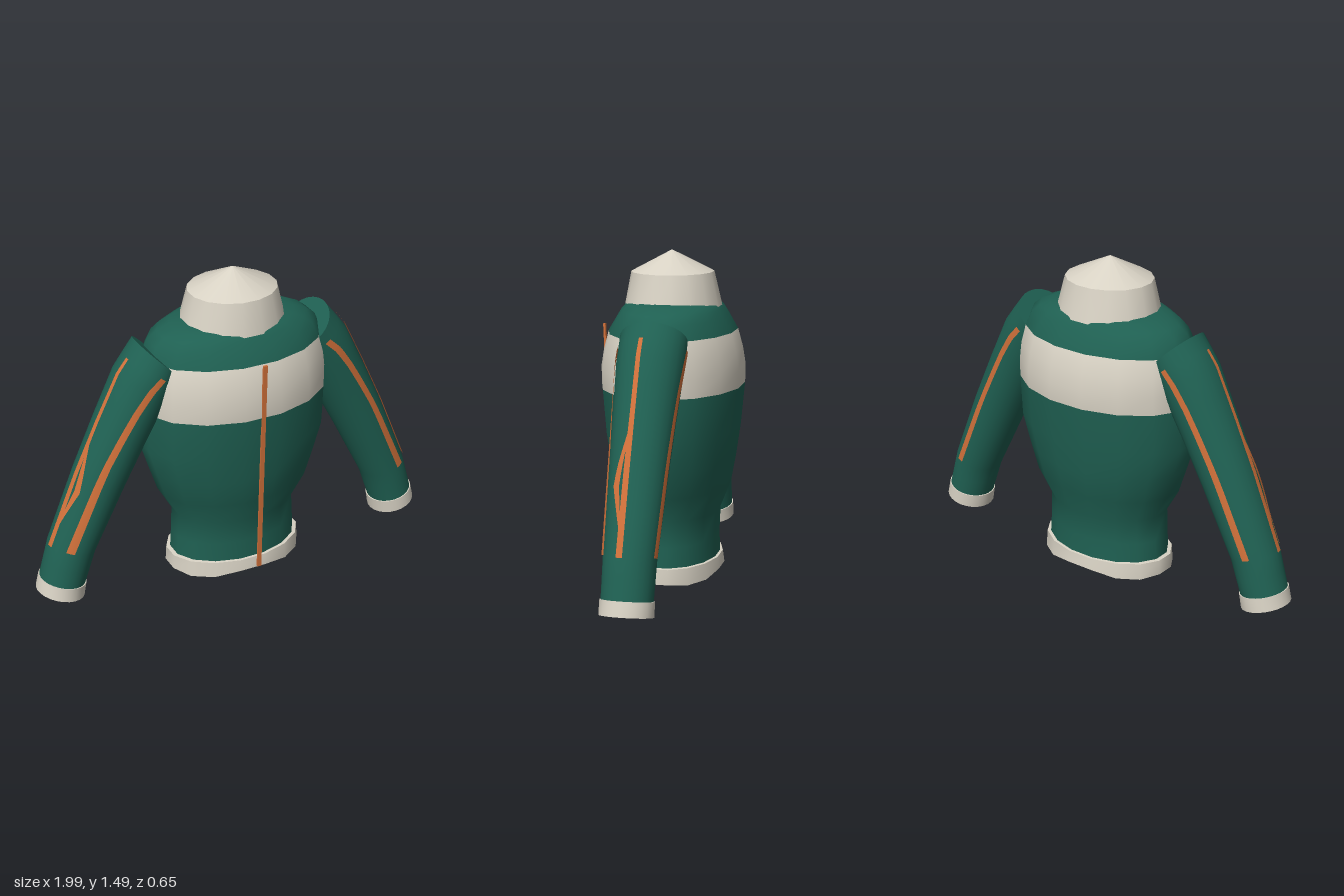
import * as THREE from 'three';

const mat = (name, color) => {
  const m = new THREE.MeshStandardMaterial({ color });
  m.name = name;
  return m;
};

// Skins a list of rings (arrays of [x, y, z]); rings run along the part.
function loft(rings, { closed = true, flip = false, slots = null } = {}) {
  const n = rings[0].length;
  const index = [];
  const geo = new THREE.BufferGeometry();
  for (let i = 0; i < rings.length - 1; i++) {
    const start = index.length;
    for (let j = 0; j < (closed ? n : n - 1); j++) {
      const k = (j + 1) % n;
      const a = i * n + j, b = i * n + k, c = a + n, d = b + n;
      if (flip) index.push(a, b, c, b, d, c);
      else index.push(a, c, b, b, c, d);
    }
    if (slots) geo.addGroup(start, index.length - start, slots[i]);
  }
  geo.setAttribute('position', new THREE.Float32BufferAttribute(rings.flat(2), 3));
  geo.setIndex(index);
  geo.computeVertexNormals();
  return geo;
}

// Horizontal oval ring; y may be a function of the angle.
const SIDES = 16;
function oval(y, rx, rz, cz = -0.008) {
  return Array.from({ length: SIDES }, (_, j) => {
    const t = ((j + 0.5) / SIDES) * Math.PI * 2;
    return [rx * Math.cos(t), typeof y === 'function' ? y(t) : y, cz + rz * Math.sin(t)];
  });
}

// Sleeve stations: centre x, centre y, tilt in degrees, half width, half depth
const STATIONS = [
  [0.38, 1.14, 45, 0.125, 0.15],
  [0.45, 1.03, 31, 0.138, 0.149],
  [0.56, 0.82, 28, 0.132, 0.137],
  [0.67, 0.6, 26, 0.125, 0.127],
  [0.82, 0.275, 17, 0.112, 0.115],
  [0.872, 0.11, 14, 0.107, 0.112],
  [0.886, 0.045, 14, 0.109, 0.113],
];

// Point on the sleeve: u along the stations, t around (0 = front, PI/2 = outer side)
function sleevePoint(side, u, t, off = 0) {
  const i = Math.min(Math.floor(u), STATIONS.length - 2);
  const [x, y, deg, a, b] = STATIONS[i].map((v, k) => v + (STATIONS[i + 1][k] - v) * (u - i));
  const tilt = (deg * Math.PI) / 180;
  const r = (a + off) * Math.sin(t);
  return [side * (x + r * Math.cos(tilt)), y + r * Math.sin(tilt), -0.006 + (b + off) * Math.cos(t)];
}

const sleeveRing = (side, u, off = 0) =>
  Array.from({ length: 24 }, (_, j) => sleevePoint(side, u, (j / 24) * Math.PI * 2, off));

const centreOf = (ring) => {
  const c = [0, 1, 2].map((k) => ring.reduce((s, p) => s + p[k], 0) / ring.length);
  return ring.map(() => c);
};

// Thin stripe lying on the sleeve; path points are [u, angle, half angle]
function stripe(side, path) {
  const rings = [];
  for (let i = 0; i < path.length - 1; i++) {
    for (let s = i ? 1 : 0; s <= 6; s++) {
      const [u, t, w] = path[i].map((v, k) => v + (path[i + 1][k] - v) * (s / 6));
      rings.push([-1, 0, 1].map((e) => sleevePoint(side, u, t + e * w, 0.006)));
    }
  }
  return loft(rings, { closed: false, flip: side < 0 });
}

export function createModel() {
  const green = mat('green knit', 0x1f6052);
  const cream = mat('cream trim', 0xd8d2c4);
  const orange = mat('orange piping', 0xd0703a);
  orange.side = THREE.DoubleSide;

  const model = new THREE.Group();
  model.name = 'jacket';
  const add = (parent, name, geo, material) => {
    const mesh = new THREE.Mesh(geo, material);
    mesh.name = name;
    parent.add(mesh);
    return mesh;
  };

  // Torso with a cream chest band
  const profile = [
    [0.06, 0.315, 0.215], [0.18, 0.308, 0.21], [0.3, 0.302, 0.215], [0.42, 0.37, 0.262],
    [0.55, 0.412, 0.285], [0.69, 0.455, 0.304], [0.885, 0.457, 0.323], [0.97, 0.457, 0.325],
    [1.05, 0.45, 0.312], [1.135, 0.43, 0.289], [1.2, 0.405, 0.25], [1.235, 0.36, 0.23],
    [1.26, 0.3, 0.208], [1.277, 0.22, 0.17], [1.28, 0.1, 0.08],
  ];
  const slots = profile.map(([y]) => (y > 0.88 && y < 1.13 ? 1 : 0));
  add(model, 'torso', loft(profile.map((p) => oval(...p)), { slots }), [green, cream]);

  // Hem with a wavy lower edge, and its underside
  const wave = (t) => 0.004 + 0.032 * Math.pow(Math.abs(Math.sin(t)), 8) + 0.014 * Math.pow(Math.cos(t), 8);
  const hemBottom = oval(wave, 0.337, 0.234);
  const hemTop = oval(0.086, 0.333, 0.226);
  add(model, 'hem', loft([hemBottom, hemTop]), cream);
  add(model, 'hemTopEdge', loft([hemTop, oval(0.089, 0.3, 0.2)]), cream);
  add(model, 'hemUnderside', loft([centreOf(oval(0.04, 0.1, 0.1)), oval(0.035, 0.2, 0.13), hemBottom]), cream);

  // Collar with a low pointed top
  const collarTop = oval(1.4, 0.207, 0.188, -0.004);
  add(model, 'collar', loft([oval(1.23, 0.25, 0.224), collarTop]), cream);
  add(model, 'collarTop', loft([collarTop, centreOf(oval(1.497, 0.1, 0.1, 0))]), cream);

  // Front closure
  const zip = add(model, 'frontClosure', new THREE.BoxGeometry(0.02, 1.075, 0.01), orange);
  zip.position.set(0, 0.6125, 0.297);
  zip.rotation.x = 0.04;

  // Sleeves with cuffs and piping
  for (const side of [1, -1]) {
    const sleeve = new THREE.Group();
    sleeve.name = side > 0 ? 'leftSleeve' : 'rightSleeve';
    model.add(sleeve);
    const opt = { flip: side < 0 };
    const top = sleeveRing(side, 0);
    const end = sleeveRing(side, 6, 0.005);
    const tube = [0, 0.5, 1, 1.5, 2, 2.5, 3, 3.5, 4, 4.5, 5, 5.3];
    add(sleeve, 'sleeve', loft(tube.map((u) => sleeveRing(side, u)), opt), green);
    add(sleeve, 'shoulderCap', loft([centreOf(top), top], opt), green);
    add(sleeve, 'cuffTopEdge', loft([sleeveRing(side, 5, -0.004), sleeveRing(side, 5, 0.005)], opt), cream);
    add(sleeve, 'cuff', loft([sleeveRing(side, 5, 0.005), end], opt), cream);
    add(sleeve, 'cuffEnd', loft([end, centreOf(end)], opt), cream);

    add(sleeve, 'frontPiping', stripe(side, [[0.4, 0.02, 0.11], [1.5, 0.28, 0.11], [2.6, 0.42, 0.12], [3.98, 0.45, 0.17]]), orange);
    add(sleeve, 'backPiping', stripe(side, [[0.4, 3.12, 0.1], [1.5, 2.95, 0.1], [2.6, 2.9, 0.11], [3.98, 2.9, 0.14]]), orange);
    add(sleeve, 'outerPiping', stripe(side, [[0.5, 1.42, 0.06], [2, 1.42, 0.08], [4, 1.4, 0.12]]), orange);
    add(sleeve, 'outerPipingBranch', stripe(side, [[2.4, 1.36, 0.03], [3.2, 1.07, 0.12], [3.7, 1.34, 0.03]]), orange);
  }
  return model;
}
